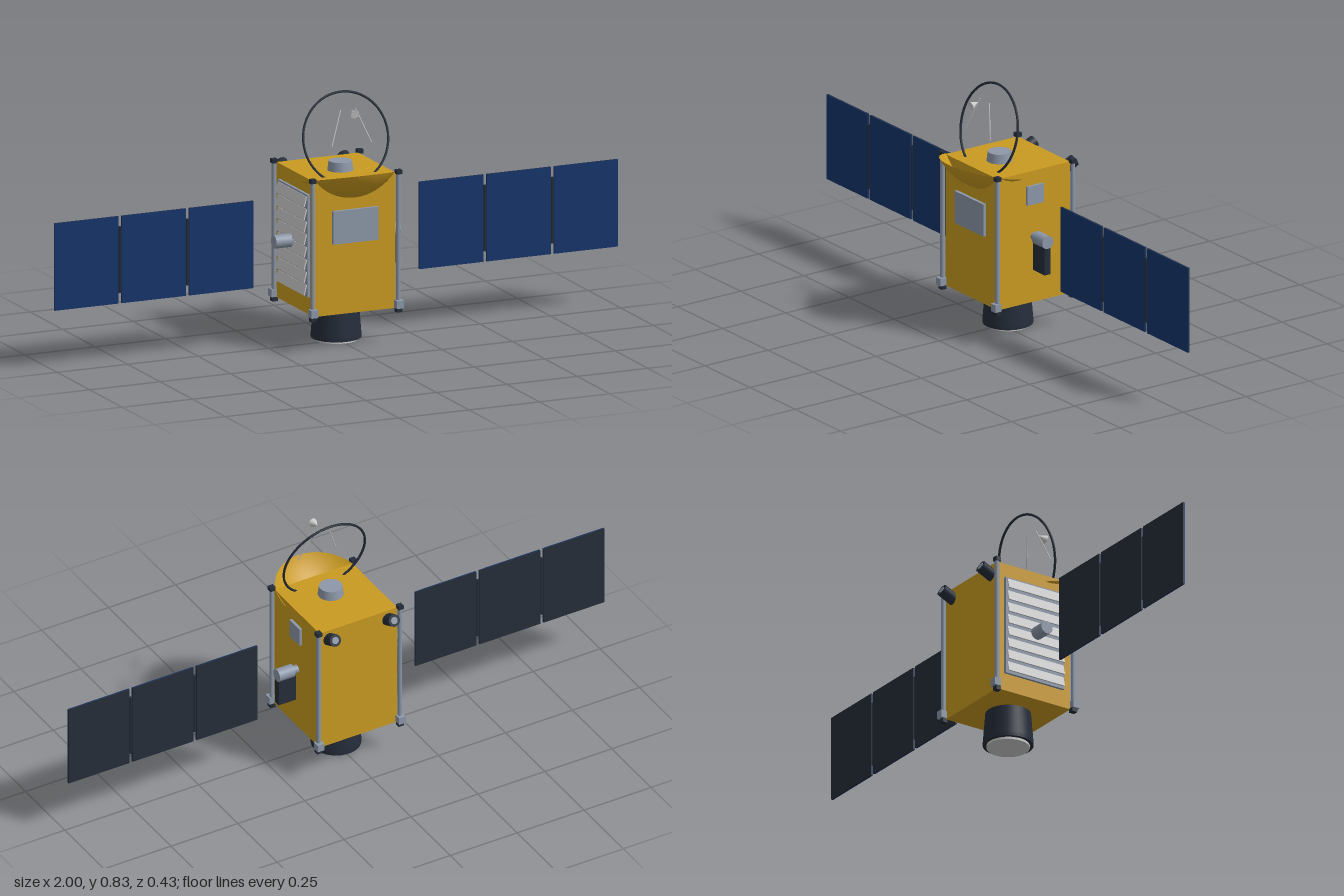
import * as THREE from 'three';

const material = (color, side = THREE.FrontSide) => new THREE.MeshStandardMaterial({ color, side });
const gold = material(0xc99a20);
const goldOpen = material(0xc99a20, THREE.DoubleSide);
const steel = material(0x8c97a8);
const pale = material(0xcccccc);
const dark = material(0x252d3a);
const navy = material(0x15356b);

const CZ = -0.022; // centre of the body in z

function add(parent, name, geometry, mat, x = 0, y = 0, z = 0) {
  const mesh = new THREE.Mesh(geometry, mat);
  mesh.name = name;
  mesh.position.set(x, y, z);
  parent.add(mesh);
  return mesh;
}

const box = (w, h, d) => new THREE.BoxGeometry(w, h, d);
const cyl = (rTop, rBottom, h, n = 32) => new THREE.CylinderGeometry(rTop, rBottom, h, n);

// Cylinder running between two points
function rod(parent, name, a, b, r, mat, n = 10) {
  const from = new THREE.Vector3(...a), to = new THREE.Vector3(...b);
  const dir = to.clone().sub(from);
  const mesh = add(parent, name, cyl(r, r, dir.length(), n), mat);
  mesh.position.copy(from).lerp(to, 0.5);
  mesh.quaternion.setFromUnitVectors(new THREE.Vector3(0, 1, 0), dir.normalize());
  return mesh;
}

function buildBody(g) {
  add(g, 'body', box(0.29, 0.45, 0.286), gold, 0, 0.345, CZ);
  // Corner rods with end caps and foot blocks
  for (const x of [-0.152, 0.152]) {
    for (const z of [0.128, -0.17]) {
      add(g, 'cornerRod', cyl(0.0075, 0.0075, 0.46, 12), steel, x, 0.345, z);
      add(g, 'rodTopCap', box(0.019, 0.014, 0.019), dark, x, 0.574, z);
      add(g, 'rodBottomCap', box(0.019, 0.014, 0.019), dark, x, 0.115, z);
      add(g, 'footBlock', box(0.025, 0.026, 0.025), steel, x, 0.135, z + Math.sign(z) * 0.005);
    }
  }
  // Equipment on the faces and roof
  add(g, 'frontRadiator', box(0.16, 0.11, 0.012), steel, 0, 0.411, 0.126);
  add(g, 'sidePlate', box(0.012, 0.064, 0.065), steel, 0.149, 0.49, CZ);
  add(g, 'sideInstrument', box(0.065, 0.097, 0.024), dark, 0.188, 0.283, CZ);
  add(g, 'roofDrum', cyl(0.038, 0.043, 0.036), steel, 0, 0.583, 0.011);
}

// Louvred radiator on the right-hand face
function buildLouvres(g) {
  const louvres = new THREE.Group();
  louvres.name = 'louvreRadiator';
  add(louvres, 'louvreBacking', box(0.01, 0.34, 0.23), steel, -0.149, 0.35, CZ);
  for (let i = 0; i < 8; i++) {
    const slat = add(louvres, 'louvreSlat', box(0.004, 0.035, 0.218), pale, -0.159, 0.203 + i * 0.042, CZ);
    slat.rotation.z = -0.25;
  }
  g.add(louvres);
}

function buildNozzle(g) {
  const profile = [[0, 0.125], [0.074, 0.125], [0.074, 0.12], [0.082, 0.02], [0.082, 0.008], [0.07, 0.008]]
    .reverse().map(([r, y]) => new THREE.Vector2(r, y));
  // Separate walls keep the rim crisp
  for (let i = 0; i < profile.length - 1; i++) {
    add(g, 'nozzleWall', new THREE.LatheGeometry([profile[i], profile[i + 1]], 40), dark, 0, 0, CZ);
  }
  add(g, 'nozzleLens', cyl(0.07, 0.07, 0.012, 40), pale, 0, 0.006, CZ);
}

function buildAntenna(g) {
  // Shallow reflector bowl, a spherical cap opening upward
  const R = 0.196, half = Math.asin(0.152 / R);
  const bowl = new THREE.SphereGeometry(R, 48, 14, 0, Math.PI * 2, Math.PI - half, half);
  bowl.translate(0, R * Math.cos(half), 0);
  const dish = add(g, 'dishBowl', bowl, goldOpen, 0, 0.56, 0.068);
  dish.rotation.x = -0.25;

  const ring = add(g, 'antennaRing', new THREE.TorusGeometry(0.15, 0.004, 8, 64), dark, 0, 0.685, 0.052);
  ring.rotation.x = -0.25;

  // Feed horn pointing backward, with its struts
  const horn = add(g, 'feedHorn', new THREE.ConeGeometry(0.0148, 0.03, 16), pale, 0, 0.783, 0.11);
  horn.rotation.x = -Math.PI / 2 + 0.25;
  for (const s of [-1, 1]) {
    rod(g, 'feedStrut', [s * 0.07, 0.674, 0.098], [s * 0.026, 0.785, 0.07], 0.0018, pale, 6);
  }
}

// Star trackers on the upper back edge
function buildTrackers(g) {
  for (const x of [-0.11, 0.11]) {
    rod(g, 'starTracker', [x, 0.531, -0.153], [x, 0.556, -0.206], 0.0205, dark, 24);
    rod(g, 'trackerLens', [x, 0.555, -0.204], [x, 0.5565, -0.2072], 0.012, steel, 20);
  }
}

// One solar wing; side is +1 or -1
function buildWing(g, side) {
  const wing = new THREE.Group();
  wing.name = side > 0 ? 'leftSolarWing' : 'rightSolarWing';
  rod(wing, 'driveShaft', [side * 0.14, 0.345, CZ], [side * 0.17, 0.345, CZ], 0.014, steel, 20);
  rod(wing, 'driveHub', [side * 0.163, 0.345, CZ], [side * 0.221, 0.345, CZ], 0.022, steel, 28);
  const w = 0.227, pitch = 0.239;
  for (let i = 0; i < 3; i++) {
    const x = side * (0.295 + w / 2 + i * pitch);
    add(wing, 'panelBack', box(w, 0.29, 0.004), dark, x, 0.345, CZ - 0.002);
    add(wing, 'panelCells', box(w, 0.29, 0.003), navy, x, 0.345, CZ + 0.0015);
    if (i < 2) add(wing, 'panelHinge', cyl(0.0055, 0.0055, 0.22, 10), dark, x + side * pitch / 2, 0.345, CZ);
  }
  g.add(wing);
}

export function createModel() {
  const g = new THREE.Group();
  g.name = 'satellite';
  buildBody(g);
  buildLouvres(g);
  buildNozzle(g);
  buildAntenna(g);
  buildTrackers(g);
  for (const side of [-1, 1]) buildWing(g, side);
  return g;
}
